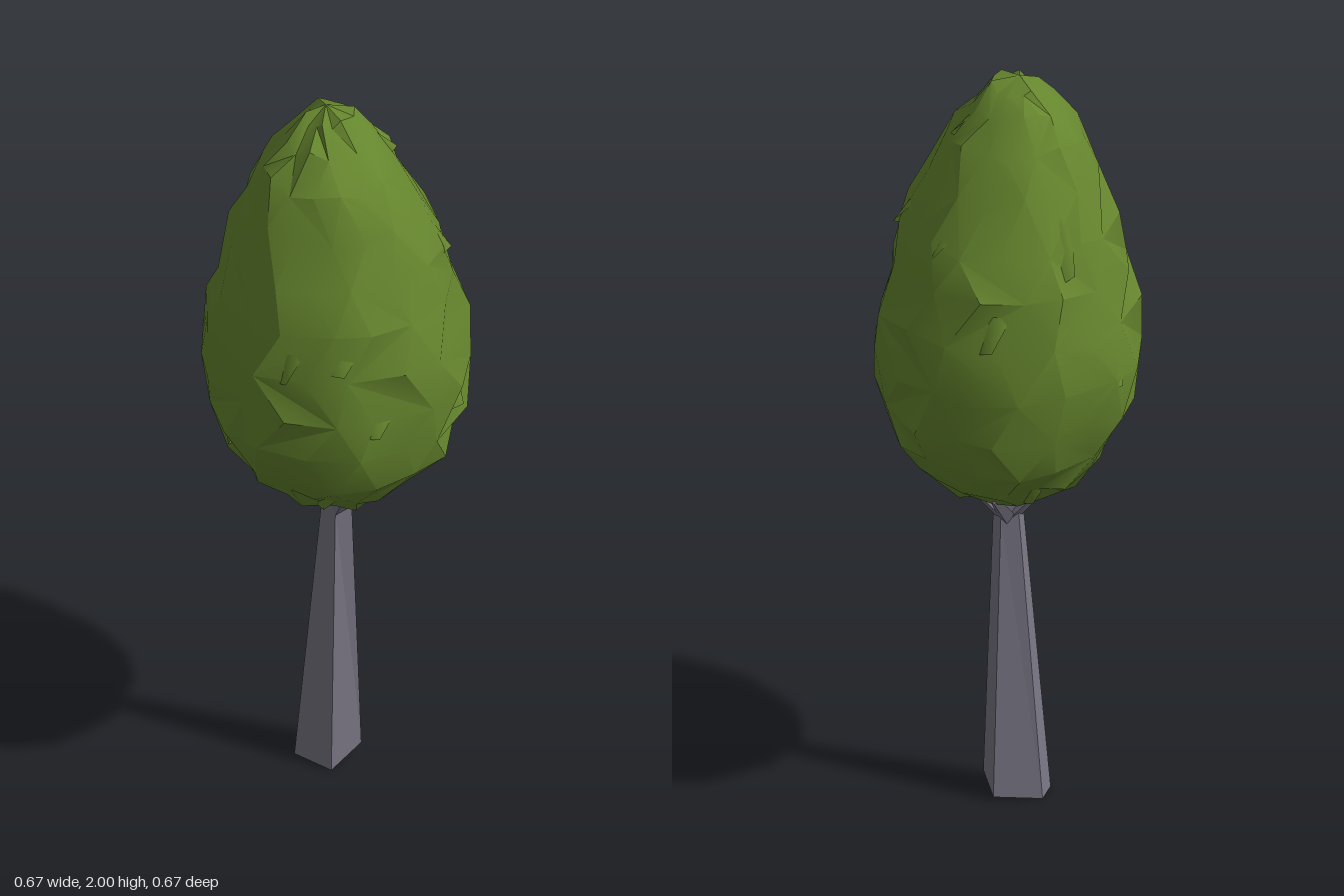
import * as THREE from 'three';
import { mergeVertices, toCreasedNormals } from 'three/addons/utils/BufferGeometryUtils.js';

const leafGreen = new THREE.MeshStandardMaterial({ color: 0x66862e, side: THREE.DoubleSide });
leafGreen.name = 'leafGreen';
const barkGrey = new THREE.MeshStandardMaterial({ color: 0x7a7785, flatShading: true });
barkGrey.name = 'barkGrey';

function seeded(seed) {
  return () => {
    seed = (seed * 16807) % 2147483647;
    return seed / 2147483647;
  };
}

// Skin equal-sized rings of points (counter-clockwise from above, bottom to top), with closed ends
function loft(rings) {
  const n = rings[0].length;
  const points = rings.flat();
  const index = [];
  for (let r = 0; r < rings.length - 1; r++) {
    for (let i = 0; i < n; i++) {
      const a = r * n + i, b = r * n + ((i + 1) % n);
      if ((r + i) % 2) index.push(a, b, b + n, a, b + n, a + n);
      else index.push(a, b, a + n, b, b + n, a + n);
    }
  }
  const top = (rings.length - 1) * n;
  const addCap = (ring, start, flip) => {
    const centre = ring.reduce((s, p) => s.add(p), new THREE.Vector3()).divideScalar(n);
    points.push(centre);
    const c = points.length - 1;
    for (let i = 0; i < n; i++) {
      const a = start + i, b = start + ((i + 1) % n);
      if (flip) index.push(b, a, c);
      else index.push(a, b, c);
    }
  };
  addCap(rings[0], 0, true);
  addCap(rings[rings.length - 1], top, false);
  const geometry = new THREE.BufferGeometry().setFromPoints(points);
  geometry.setIndex(index);
  geometry.computeVertexNormals();
  return geometry;
}

// Crown outline: height, radius, x shift, z shift
const profile = [
  [0.855, 0.09, 0, 0], [0.875, 0.16, -0.01, 0], [0.94, 0.225, 0, 0], [1.03, 0.285, 0.01, 0],
  [1.13, 0.322, 0, 0], [1.25, 0.331, 0, 0], [1.38, 0.322, 0, 0.005], [1.5, 0.3, -0.005, 0.005],
  [1.62, 0.265, -0.005, 0.005], [1.74, 0.218, -0.01, 0.01], [1.84, 0.17, -0.015, 0.015],
  [1.92, 0.11, -0.02, 0.01], [1.975, 0.06, -0.02, 0],
];

function crownPoint(angle, y, scale = 1) {
  let k = 0;
  while (k < profile.length - 2 && profile[k + 1][0] < y) k++;
  const [lo, hi] = [profile[k], profile[k + 1]];
  const t = (y - lo[0]) / (hi[0] - lo[0]);
  const [, r, dx, dz] = lo.map((v, i) => v + (hi[i] - v) * t);
  return new THREE.Vector3(dx + Math.sin(angle) * r * scale, y, dz + Math.cos(angle) * r * scale);
}

// Uneven faceted egg with soft and creased edges
function buildCrown() {
  const random = seeded(4711);
  const sides = 16;
  const rings = profile.map(([y], row) =>
    Array.from({ length: sides }, (_, i) => {
      const angle = ((i + (row % 2) * 0.5 + (random() - 0.5) * 0.4) / sides) * Math.PI * 2;
      const p = crownPoint(angle, y, 1 + (random() - 0.55) * 0.07);
      p.y += (random() - 0.5) * 0.035;
      return p;
    }));
  const geometry = loft(rings);
  const pos = geometry.attributes.position;
  pos.setXYZ(pos.count - 1, -0.03, 2, 0);
  return toCreasedNormals(geometry, 0.42);
}

// Folded leaf flakes: angle, height, width, length, outward lift
const flakes = [
  [-0.15, 1.4, 0.12, 0.09, 1.03], [0.3, 1.43, 0.16, 0.06, 1.05], [0.55, 1.23, 0.14, 0.05, 1.04],
  [1.7, 1.62, 0.1, 0.08, 1.06], [1.4, 1.2, 0.12, 0.05, 1.04], [2.5, 1.62, 0.14, 0.07, 1.06],
  [3.1, 1.42, 0.13, 0.09, 1.05], [3.8, 1.6, 0.12, 0.12, 1.04], [4.2, 1.25, 0.16, 0.06, 1.04],
  [5.0, 1.36, 0.1, 0.08, 1.03], [5.4, 1.08, 0.13, 0.08, 1.04], [0.1, 0.93, 0.14, 0.05, 1.08],
  [3.5, 0.92, 0.14, 0.06, 1.08], [1.9, 0.93, 0.12, 0.06, 1.06], [2.0, 1.88, 0.05, 0.06, 1.1],
];

function buildFlake([angle, y, width, length, lift]) {
  const half = width / 0.6;
  const points = [
    crownPoint(angle - half * 0.5, y - length * 0.5, 0.96),
    crownPoint(angle, y - length * 0.3, lift),
    crownPoint(angle + half * 0.5, y + length * 0.4, 0.96),
    crownPoint(angle - half * 0.1, y + length * 0.8, 0.95),
  ];
  const geometry = new THREE.BufferGeometry().setFromPoints(points);
  geometry.setIndex([0, 1, 3, 1, 2, 3]);
  geometry.computeVertexNormals();
  return geometry;
}

// Five-cornered trunk with a chipped foot on its left side
function buildTrunk() {
  const foot = [[0.0, 0, 0.065], [0.06, 0.05, 0.0], [0.03, 0.01, -0.065], [-0.09, 0, -0.045], [-0.105, 0, 0.02]];
  const neck = [[0.0, 0.77, 0.024], [0.036, 0.77, 0.0], [0.015, 0.77, -0.022], [-0.03, 0.77, -0.018], [-0.04, 0.77, 0.008]];
  const tip = neck.map(([x, , z]) => [x * 0.8, 1.0, z * 0.8]);
  return loft([foot, neck, tip].map((ring) => ring.map((p) => new THREE.Vector3(...p))));
}

// Tapered three-sided branch between two points
function buildBranch(from, to) {
  const a = new THREE.Vector3(...from), b = new THREE.Vector3(...to);
  const geometry = new THREE.CylinderGeometry(0.012, 0.022, a.distanceTo(b), 4);
  geometry.applyQuaternion(new THREE.Quaternion().setFromUnitVectors(
    new THREE.Vector3(0, 1, 0), b.clone().sub(a).normalize()));
  const middle = a.add(b).multiplyScalar(0.5);
  return geometry.translate(middle.x, middle.y, middle.z);
}

export function createModel() {
  const tree = new THREE.Group();
  tree.name = 'tree';
  const add = (parent, geometry, material, name) => {
    const mesh = new THREE.Mesh(geometry, material);
    mesh.name = name;
    parent.add(mesh);
  };

  add(tree, buildTrunk(), barkGrey, 'trunk');

  const branches = new THREE.Group();
  branches.name = 'branches';
  const ends = [[0.11, 0.9, -0.05], [-0.12, 0.9, -0.03], [0.05, 0.9, 0.13], [0.02, 0.9, -0.17]];
  ends.forEach((end) => add(branches, buildBranch([end[0] * 0.05, 0.77, end[2] * 0.05], end), barkGrey, 'branch'));
  tree.add(branches);

  const foliage = new THREE.Group();
  foliage.name = 'foliage';
  add(foliage, buildCrown(), leafGreen, 'crown');
  flakes.forEach((flake) => add(foliage, mergeVertices(buildFlake(flake)), leafGreen, 'leafFlake'));
  tree.add(foliage);

  return tree;
}
